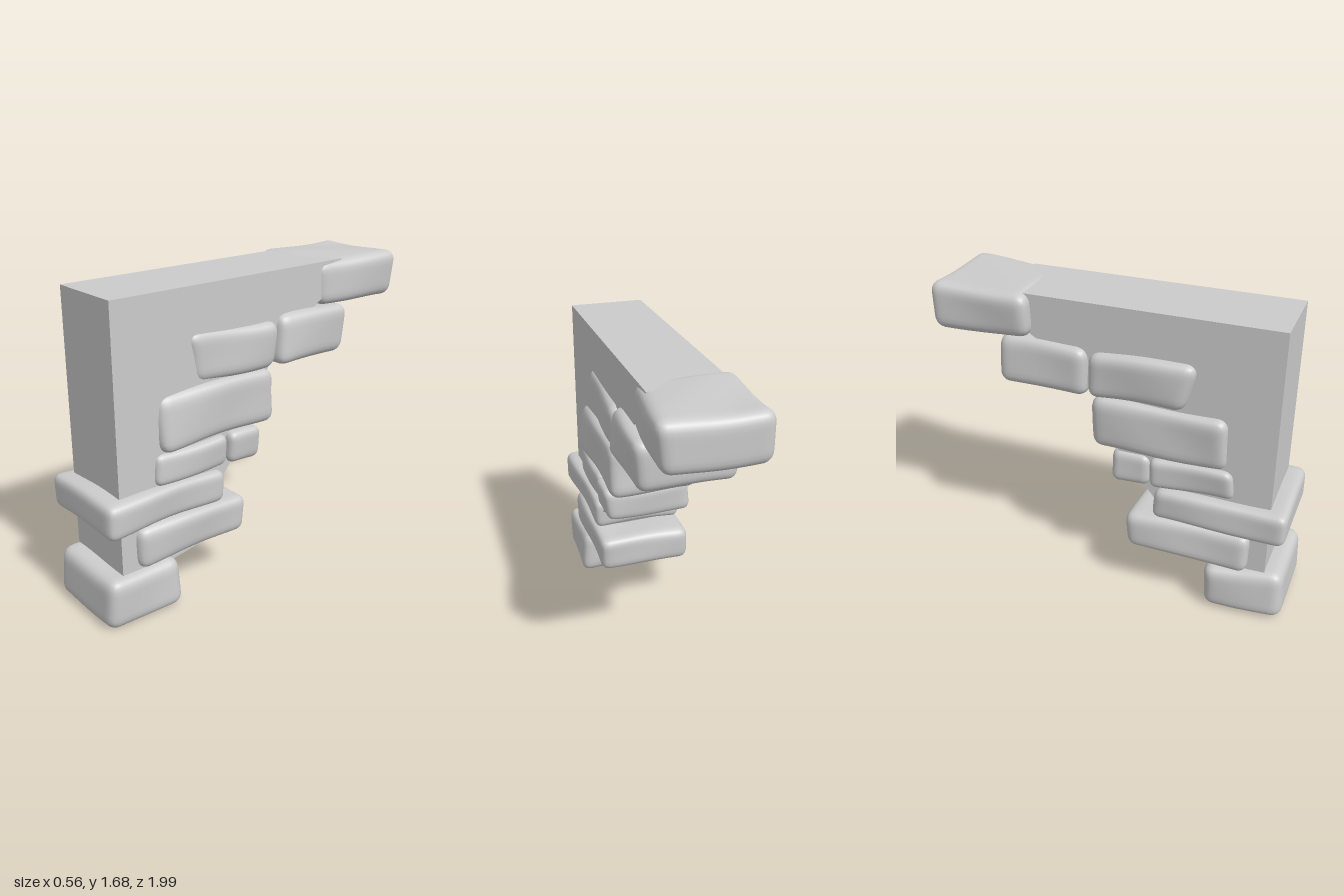
import * as THREE from 'three';
import { mergeVertices } from 'three/addons/utils/BufferGeometryUtils.js';

const material = new THREE.MeshStandardMaterial({ color: 0xcccccc });

function seeded(seed) {
  let s = seed * 7919 + 17;
  return () => (s = (s * 16807) % 2147483647) / 2147483647;
}

// Side outline of each stone as [z, y] corners: front bottom, front top, back top, back bottom.
// front / back give [min x, max x] at each end.
const stones = [
  { name: 'baseStone', quad: [[1, 0], [0.985, 0.28], [0.555, 0.27], [0.56, 0.01]], front: [-0.27, 0.27], back: [-0.28, 0.28] },
  { name: 'secondStone', quad: [[0.79, 0.27], [0.8, 0.505], [0.105, 0.49], [0.115, 0.285]], front: [-0.28, 0.27], back: [-0.28, 0.28] },
  { name: 'thirdStone', quad: [[0.98, 0.505], [0.98, 0.695], [0.26, 0.68], [0.255, 0.5]], front: [-0.285, 0.28], back: [-0.27, 0.27] },
  { name: 'fourthStoneFront', quad: [[0.685, 0.69], [0.67, 0.86], [0.225, 0.865], [0.225, 0.69]], front: [-0.25, 0.24], back: [-0.255, 0.26] },
  { name: 'fourthStoneBack', quad: [[0.23, 0.685], [0.225, 0.865], [0.01, 0.86], [0.01, 0.67]], front: [-0.25, 0.26], back: [-0.25, 0.27] },
  { name: 'fifthStone', quad: [[0.64, 0.86], [0.64, 1.16], [-0.085, 1.165], [-0.1, 0.865]], front: [-0.265, 0.26], back: [-0.265, 0.27] },
  { name: 'sixthStoneFront', quad: [[0.41, 1.165], [0.465, 1.43], [-0.115, 1.41], [-0.11, 1.155]], front: [-0.265, 0.25], back: [-0.265, 0.26] },
  { name: 'sixthStoneBack', quad: [[-0.11, 1.155], [-0.12, 1.425], [-0.61, 1.43], [-0.61, 1.155]], front: [-0.265, 0.275], back: [-0.27, 0.28] },
  { name: 'topStone', quad: [[-0.43, 1.43], [-0.425, 1.665], [-0.99, 1.67], [-0.985, 1.41]], front: [-0.285, 0.245], back: [-0.275, 0.29] }
];

// Worn block: round off a box, then map it into its irregular outline
function createStone({ name, quad, front, back }, index) {
  const rand = seeded(index + 3);
  const [fb, ft, bt, bb] = quad;
  const half = [0.275, (ft[1] - fb[1] + bt[1] - bb[1]) / 4, (ft[0] - bt[0] + fb[0] - bb[0]) / 4];
  const radius = Math.min(0.06, half[1] * 0.5, half[2] * 0.5);
  const chips = Array.from({ length: 8 }, () => 0.025 * rand());
  const phase = [rand() * 6, rand() * 6, rand() * 6];

  let geo = new THREE.BoxGeometry(2, 2, 2, 20, 14, 24);
  geo.deleteAttribute('normal');
  geo.deleteAttribute('uv');
  geo = mergeVertices(geo);
  const pos = geo.attributes.position;
  const p = new THREE.Vector3(), core = new THREE.Vector3();
  const lerp = THREE.MathUtils.lerp;

  for (let i = 0; i < pos.count; i++) {
    p.fromBufferAttribute(pos, i);
    // Crowd the grid towards the edges so the rounding stays smooth
    const spread = t => Math.sin(t * Math.PI / 2);
    p.set(spread(p.x) * half[0], spread(p.y) * half[1], spread(p.z) * half[2]);
    core.set(...['x', 'y', 'z'].map((a, k) => THREE.MathUtils.clamp(p[a], radius - half[k], half[k] - radius)));
    p.sub(core).setLength(radius).add(core);

    const u = (p.x / half[0] + 1) / 2, v = (p.y / half[1] + 1) / 2, w = (p.z / half[2] + 1) / 2;
    // Uneven corners across the width
    const chip = k => lerp(lerp(chips[k], chips[k + 1], v), lerp(chips[k + 2], chips[k + 3], v), w);
    const x = lerp(lerp(back[0], front[0], w) + chip(0), lerp(back[1], front[1], w) - chip(4), u);
    const z = lerp(lerp(bb[0], fb[0], w), lerp(bt[0], ft[0], w), v);
    const y = lerp(lerp(bb[1], fb[1], w), lerp(bt[1], ft[1], w), v);
    // Gentle surface undulation
    const a = 0.006;
    pos.setXYZ(i,
      x + a * Math.sin(9 * z + 8 * y + phase[0]),
      Math.max(0, y + a * Math.sin(10 * x + 8 * z + phase[1])),
      z + a * Math.sin(9 * x + 11 * y + phase[2]) * (1 - Math.abs(z) ** 8));
  }
  geo.computeVertexNormals();
  const mesh = new THREE.Mesh(geo, material);
  mesh.name = name;
  return mesh;
}

// Plain slab with an overhanging underside hidden by the stones
function createCore() {
  const outline = [[0.885, 0.2], [0.885, 1.664], [-0.6, 1.664], [-0.6, 1.56], [-0.38, 1.415], [-0.07, 1.16],
    [0.05, 0.86], [0.26, 0.6], [0.39, 0.28], [0.58, 0.25], [0.6, 0.2]];
  const shape = new THREE.Shape(outline.map(([z, y]) => new THREE.Vector2(z, y)));
  const geo = new THREE.ExtrudeGeometry(shape, { depth: 0.42, bevelEnabled: false });
  geo.rotateY(-Math.PI / 2).translate(0.21, 0, 0);
  const mesh = new THREE.Mesh(geo, material);
  mesh.name = 'wallCore';
  return mesh;
}

export function createModel() {
  const model = new THREE.Group();
  model.name = 'stoneCorbel';
  model.add(createCore(), ...stones.map(createStone));
  return model;
}
